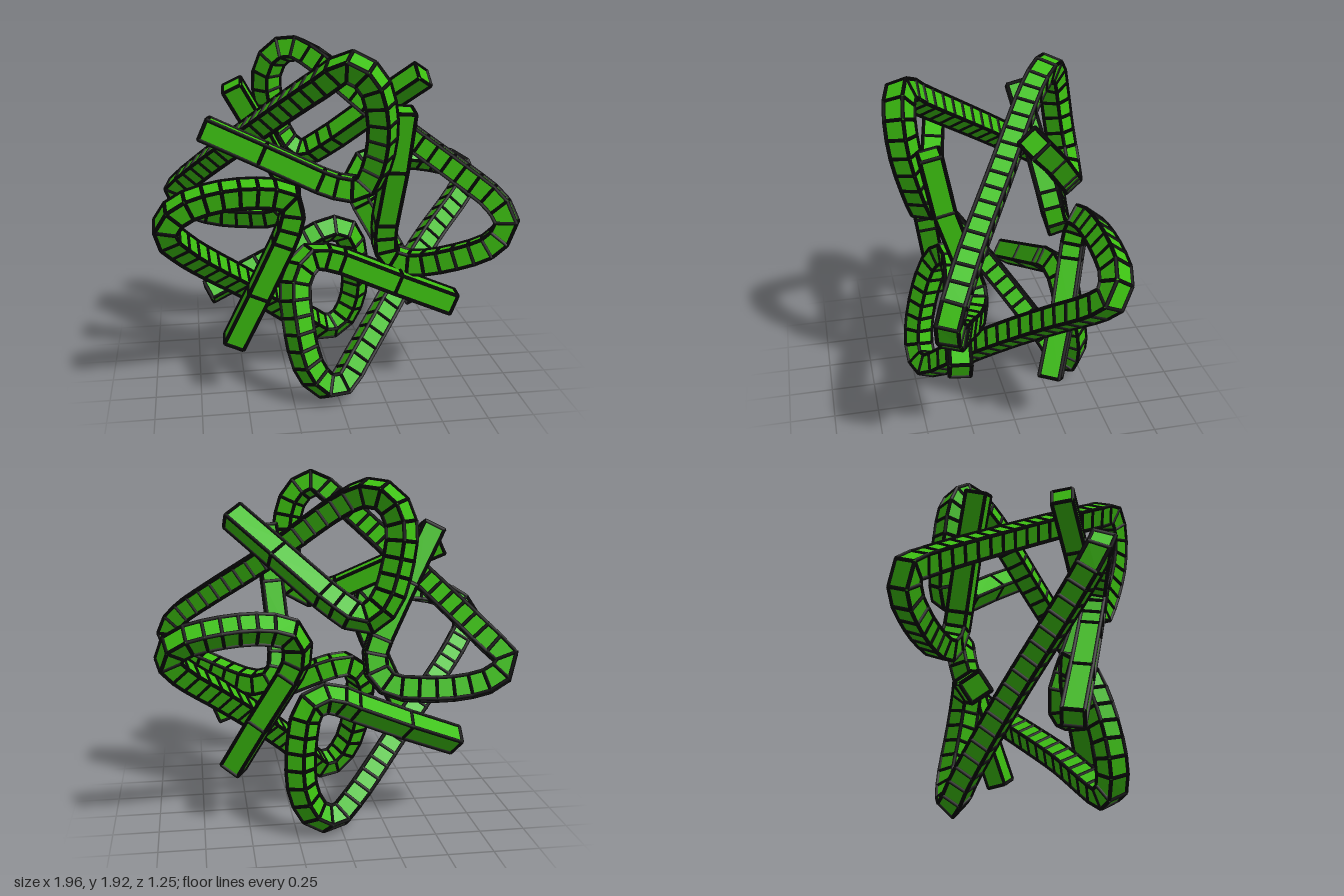
import * as THREE from 'three';
import { mergeGeometries } from 'three/addons/utils/BufferGeometryUtils.js';

// Guide points of the four knotted bars, each from its front end to its back end
const strands = {
  upperLeftStrand: [
    [-.68, 1.52, .23], [-.3, 1.35, .31], [0, 1.22, .37], [.13, 1.22, .41], [.19, 1.36, .46],
    [.2, 1.6, .52], [.14, 1.79, .53], [.03, 1.86, .5], [-.08, 1.78, .42], [-.45, 1.42, -.05],
    [-.76, 1.1, -.45], [-.85, 1, -.53], [-.8, .92, -.545], [-.65, .86, -.52], [-.4, .84, -.47],
    [-.24, .86, -.42], [-.17, .97, -.38], [-.3, 1.28, -.32], [-.51, 1.67, -.23]],
  upperRightStrand: [
    [.33, 1.62, .41], [.3, 1.2, .32], [.28, .92, .22], [.31, .77, .18], [.42, .72, .21],
    [.68, .79, .34], [.85, .88, .4], [.91, 1, .42], [.85, 1.11, .37], [.7, 1.23, .28],
    [.36, 1.48, .06], [-.03, 1.8, -.21], [-.14, 1.86, -.3], [-.24, 1.83, -.36], [-.3, 1.7, -.4],
    [-.27, 1.47, -.43], [-.2, 1.29, -.45], [-.1, 1.22, -.44], [.03, 1.29, -.39], [.28, 1.5, -.25],
    [.55, 1.73, -.07]],
  lowerRightStrand: [
    [.65, .52, .33], [.3, .66, .29], [0, .78, .25], [-.13, .8, .26], [-.22, .7, .32],
    [-.22, .48, .4], [-.17, .24, .45], [-.08, .12, .45], [.01, .11, .42], [.1, .2, .34],
    [.27, .39, .19], [.47, .6, -.01], [.66, .78, -.18], [.83, .93, -.31], [.91, 1.03, -.38],
    [.86, 1.11, -.42], [.65, 1.17, -.43], [.4, 1.18, -.42], [.27, 1.14, -.41], [.24, 1.02, -.39],
    [.4, .7, -.3], [.58, .35, -.18]],
  lowerLeftStrand: [
    [-.56, .33, .26], [-.4, .68, .32], [-.25, 1.05, .38], [-.25, 1.17, .4], [-.38, 1.21, .41],
    [-.65, 1.2, .42], [-.84, 1.13, .42], [-.9, 1.03, .39], [-.81, .89, .29], [-.4, .5, -.06],
    [-.07, .18, -.32], [.04, .1, -.38], [.14, .13, -.41], [.22, .28, -.42], [.22, .55, -.38],
    [.17, .73, -.35], [.07, .77, -.33], [-.08, .71, -.31], [-.35, .59, -.27], [-.68, .45, -.2]],
};

// Corners of the square cross-sections: long segments at the ends, short ones between
function sections(points, radius = 0.079, fine = 600) {
  const curve = new THREE.CatmullRomCurve3(points.map(p => new THREE.Vector3(...p)));
  curve.arcLengthDivisions = fine;
  const { normals, binormals } = curve.computeFrenetFrames(fine, false);
  const length = curve.getLength(), end = 0.66 / length;
  const count = Math.round((length - 1.32) / 0.09);
  const stops = [0, end / 2];
  for (let i = 0; i <= count; i++) stops.push(end + (1 - 2 * end) * i / count);
  stops.push(1 - end / 2, 1);
  return stops.map(u => {
    const k = Math.round(u * fine), centre = curve.getPointAt(u);
    return [0, 1, 2, 3].map(j => {
      const a = Math.PI / 4 + j * Math.PI / 2;
      return centre.clone()
        .addScaledVector(normals[k], Math.cos(a) * radius)
        .addScaledVector(binormals[k], Math.sin(a) * radius);
    });
  });
}

// Flat-sided bar through the sections, closed at both ends
function barGeometry(rings) {
  const index = [], last = (rings.length - 1) * 4;
  for (let i = 0; i < last; i += 4) {
    for (let j = 0; j < 4; j++) {
      const a = i + j, b = i + (j + 1) % 4;
      index.push(a, b, a + 4, b, b + 4, a + 4);
    }
  }
  index.push(0, 2, 1, 0, 3, 2, last, last + 1, last + 2, last, last + 2, last + 3);
  const geometry = new THREE.BufferGeometry().setFromPoints(rings.flat());
  geometry.setIndex(index);
  const flat = geometry.toNonIndexed();
  flat.computeVertexNormals();
  return flat;
}

// Thin rod between two corners
function rod(a, b) {
  const direction = b.clone().sub(a), length = direction.length();
  const turn = new THREE.Quaternion().setFromUnitVectors(
    new THREE.Vector3(0, 1, 0), direction.normalize());
  return new THREE.CylinderGeometry(0.011, 0.011, length, 5, 1, true)
    .applyQuaternion(turn)
    .translate((a.x + b.x) / 2, (a.y + b.y) / 2, (a.z + b.z) / 2);
}

// Dark rods around every section and along the four corners
function edgeGeometry(rings) {
  const rods = [];
  rings.forEach((ring, i) => {
    for (let j = 0; j < 4; j++) {
      rods.push(rod(ring[j], ring[(j + 1) % 4]));
      if (i > 0) rods.push(rod(rings[i - 1][j], ring[j]));
    }
  });
  return mergeGeometries(rods);
}

export function createModel() {
  const model = new THREE.Group();
  model.name = 'knottedBars';
  const green = new THREE.MeshStandardMaterial({
    color: 0x3cc010, flatShading: true, side: THREE.DoubleSide,
  });
  const black = new THREE.MeshStandardMaterial({ color: 0x050505, side: THREE.DoubleSide });
  for (const [name, points] of Object.entries(strands)) {
    const rings = sections(points);
    const bar = new THREE.Mesh(barGeometry(rings), green);
    bar.name = 'bar';
    const edges = new THREE.Mesh(edgeGeometry(rings), black);
    edges.name = 'edges';
    const strand = new THREE.Group();
    strand.name = name;
    strand.add(bar, edges);
    model.add(strand);
  }
  return model;
}
